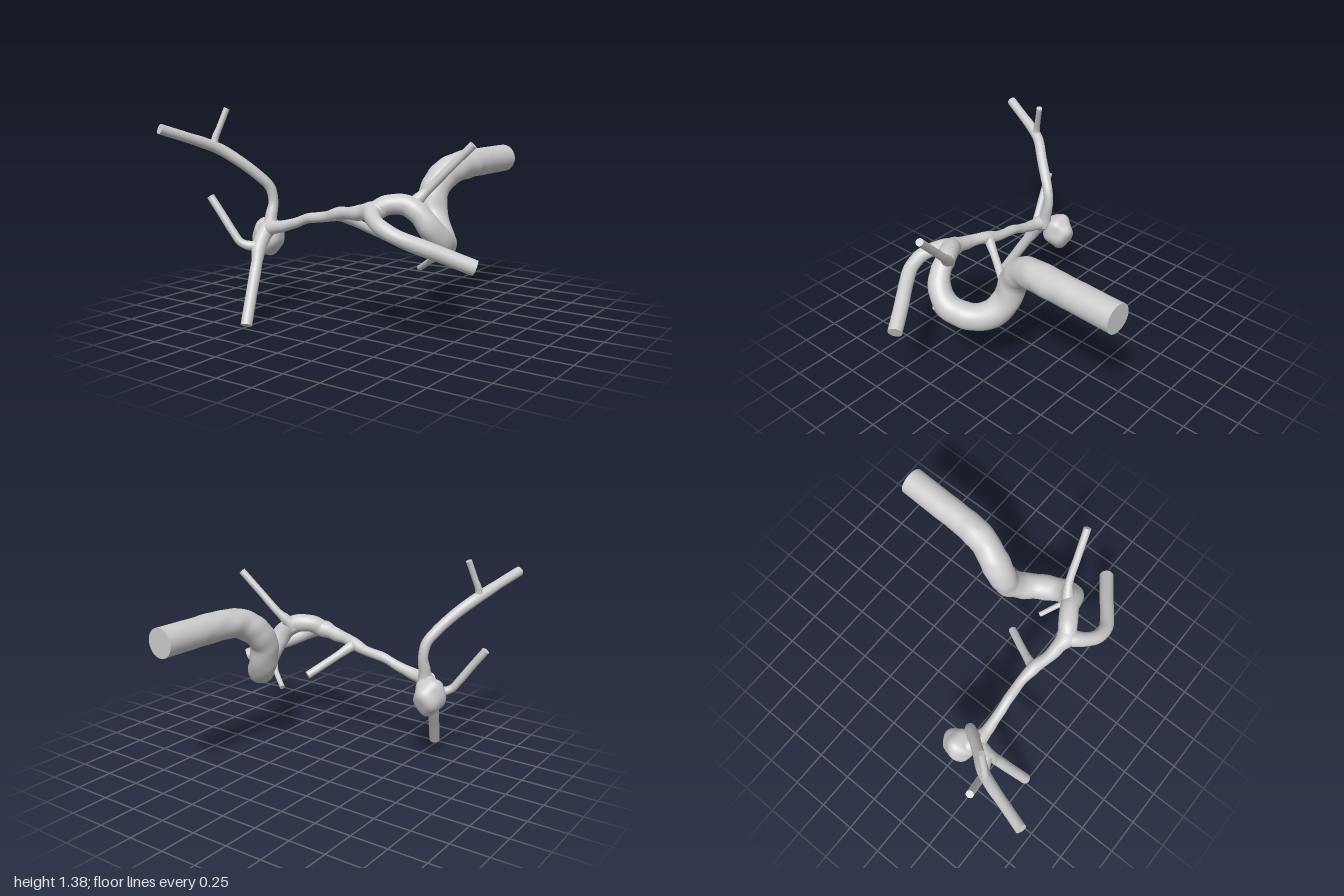
import * as THREE from 'three';

const material = new THREE.MeshStandardMaterial({ color: 0xcccccc, roughness: 0.8 });

// Gentle organic unevenness, depending only on position
const bump = (p) =>
  Math.sin(p.x * 31 + p.y * 17) * Math.sin(p.y * 29 - p.z * 23) + 0.6 * Math.sin(p.z * 41 + p.x * 19);

// Tapering tube through stations [x, y, z, radius]. The cut run between the
// last two stations (straightEnd) is smooth and ends in a flat cap.
function vessel(name, stations, { straightEnd = true, rough = 0.03, sides = 24 } = {}) {
  const pts = stations.map(([x, y, z]) => new THREE.Vector3(x, y, z));
  const curve = new THREE.CatmullRomCurve3(pts, false, 'centripetal');
  const steps = Math.max(16, Math.round(curve.getLength() / 0.018));
  const frames = curve.computeFrenetFrames(steps, false);
  const last = stations.length - 1;
  const pos = [], index = [];
  const dir = new THREE.Vector3();

  for (let i = 0; i <= steps; i++) {
    const t = curve.getUtoTmapping(i / steps) * last;
    const k = Math.min(Math.floor(t), last - 1);
    const f = THREE.MathUtils.smoothstep(t - k, 0, 1);
    const r = THREE.MathUtils.lerp(stations[k][3], stations[k + 1][3], f);
    const amount = straightEnd ? rough * THREE.MathUtils.clamp(last - 0.8 - t, 0, 1) : rough;
    const c = curve.getPointAt(i / steps);
    for (let j = 0; j < sides; j++) {
      const a = (j / sides) * Math.PI * 2;
      dir.copy(frames.normals[i]).multiplyScalar(Math.cos(a)).addScaledVector(frames.binormals[i], Math.sin(a));
      const p = c.clone().addScaledVector(dir, r);
      p.addScaledVector(dir, r * amount * bump(p));
      pos.push(p.x, p.y, p.z);
      if (i < steps) {
        const b = i * sides + j, n = i * sides + ((j + 1) % sides);
        index.push(b, n, b + sides, n, n + sides, b + sides);
      }
    }
  }
  const geometry = new THREE.BufferGeometry();
  geometry.setAttribute('position', new THREE.Float32BufferAttribute(pos, 3));
  geometry.setIndex(index);
  geometry.computeVertexNormals();
  const group = new THREE.Group();
  group.name = name;
  const wall = new THREE.Mesh(geometry, material);
  wall.name = name + 'Wall';
  group.add(wall);

  // Flat cap on each end
  [[0, -1], [steps, 1]].forEach(([i, sign]) => {
    const radius = stations[i ? last : 0][3];
    const cap = new THREE.Mesh(new THREE.CircleGeometry(radius, sides), material);
    cap.name = name + (i ? 'EndCap' : 'StartCap');
    cap.position.copy(curve.getPointAt(i / steps));
    const z = frames.tangents[i].clone().multiplyScalar(sign);
    cap.quaternion.setFromRotationMatrix(
      new THREE.Matrix4().makeBasis(frames.normals[i], frames.binormals[i].clone().multiplyScalar(sign), z));
    group.add(cap);
  });
  return group;
}

// Lumpy sac bulging from the far junction
function sac() {
  const g = new THREE.SphereGeometry(1, 40, 28);
  const p = g.attributes.position, v = new THREE.Vector3();
  for (let i = 0; i < p.count; i++) {
    v.fromBufferAttribute(p, i);
    const lump = 1 + 0.05 * Math.sin(v.x * 4 + 1) * Math.sin(v.y * 5) + 0.04 * Math.sin(v.z * 5 + v.y * 3);
    v.multiplyScalar(lump);
    // narrower toward the bottom
    const w = 1 + 0.12 * v.y;
    p.setXYZ(i, v.x * w, v.y, v.z * w);
  }
  g.scale(0.103, 0.128, 0.113);
  g.computeVertexNormals();
  const mesh = new THREE.Mesh(g, material);
  mesh.name = 'sac';
  mesh.position.set(-0.655, 0.51, 0.305);
  return mesh;
}

export function createModel() {
  const model = new THREE.Group();
  model.name = 'vesselTree';

  model.add(
    // Thick inlet, S-bend and the taper into the first fork
    vessel('trunk', [
      [0.29, 0.78, 0.44, 0.06], [0.36, 0.82, 0.39, 0.062], [0.45, 0.82, 0.335, 0.063],
      [0.53, 0.77, 0.31, 0.066], [0.585, 0.68, 0.27, 0.075], [0.6, 0.59, 0.18, 0.083],
      [0.55, 0.55, 0.05, 0.088], [0.46, 0.575, -0.065, 0.092], [0.385, 0.68, -0.125, 0.093],
      [0.355, 0.81, -0.155, 0.095], [0.37, 0.915, -0.235, 0.098], [0.405, 0.975, -0.34, 0.097],
      [0.427, 0.993, -0.47, 0.096], [0.438, 0.995, -0.72, 0.095], [0.45, 0.995, -1, 0.095],
    ], { sides: 32 }),
    // Long slim vessel across to the far junction
    vessel('crossVessel', [
      [0.36, 0.815, 0.39, 0.058], [0.28, 0.78, 0.44, 0.064], [0.2, 0.765, 0.435, 0.047],
      [0.1, 0.75, 0.42, 0.04], [0, 0.735, 0.395, 0.042], [-0.1, 0.705, 0.38, 0.034],
      [-0.25, 0.68, 0.385, 0.033], [-0.38, 0.63, 0.395, 0.034], [-0.48, 0.605, 0.395, 0.038],
      [-0.58, 0.585, 0.385, 0.058], [-0.65, 0.55, 0.34, 0.06],
    ], { straightEnd: false, rough: 0.06 }),
    // Branches near the trunk
    vessel('forwardBranch', [
      [0.25, 0.78, 0.44, 0.04], [0.3, 0.775, 0.475, 0.054], [0.35, 0.757, 0.535, 0.049],
      [0.43, 0.725, 0.587, 0.046], [0.53, 0.68, 0.59, 0.047], [0.63, 0.633, 0.537, 0.048],
      [0.77, 0.568, 0.44, 0.048], [0.925, 0.495, 0.34, 0.048],
    ]),
    vessel('upperBranch', [
      [0.46, 0.79, 0.32, 0.05], [0.505, 0.855, 0.275, 0.036], [0.55, 0.905, 0.245, 0.026],
      [0.67, 1.035, 0.208, 0.025], [0.81, 1.185, 0.165, 0.025],
    ]),
    vessel('lowerBranch', [
      [0.61, 0.56, 0.26, 0.045], [0.605, 0.51, 0.255, 0.027], [0.55, 0.468, 0.21, 0.019],
      [0.435, 0.395, 0.135, 0.018],
    ]),
    vessel('middleBranch', [
      [-0.01, 0.735, 0.4, 0.042], [0.02, 0.705, 0.35, 0.032], [0.055, 0.667, 0.285, 0.027],
      [0.11, 0.613, 0.193, 0.027], [0.175, 0.55, 0.088, 0.027],
    ]),
    // Far junction and its branches
    sac(),
    vessel('risingBranch', [
      [-0.58, 0.57, 0.38, 0.055], [-0.58, 0.66, 0.36, 0.04], [-0.58, 0.76, 0.335, 0.032],
      [-0.592, 0.85, 0.35, 0.034], [-0.635, 0.93, 0.41, 0.036], [-0.71, 1.03, 0.51, 0.036],
      [-0.785, 1.11, 0.605, 0.037], [-0.825, 1.152, 0.69, 0.036], [-0.87, 1.2, 0.82, 0.033],
      [-0.927, 1.258, 0.985, 0.033],
    ]),
    vessel('risingTwig', [
      [-0.805, 1.12, 0.645, 0.032], [-0.804, 1.18, 0.635, 0.023], [-0.785, 1.255, 0.61, 0.02],
      [-0.755, 1.375, 0.57, 0.02],
    ]),
    vessel('descendingBranch', [
      [-0.585, 0.59, 0.385, 0.06], [-0.592, 0.53, 0.435, 0.05], [-0.583, 0.46, 0.485, 0.045],
      [-0.563, 0.38, 0.53, 0.038], [-0.525, 0.215, 0.625, 0.037], [-0.48, 0.02, 0.735, 0.037],
    ]),
    vessel('sideBranch', [
      [-0.58, 0.485, 0.465, 0.04], [-0.63, 0.478, 0.505, 0.032], [-0.69, 0.5, 0.54, 0.027],
      [-0.74, 0.565, 0.555, 0.026], [-0.81, 0.668, 0.572, 0.026], [-0.9, 0.795, 0.592, 0.026],
    ]),
  );
  return model;
}
